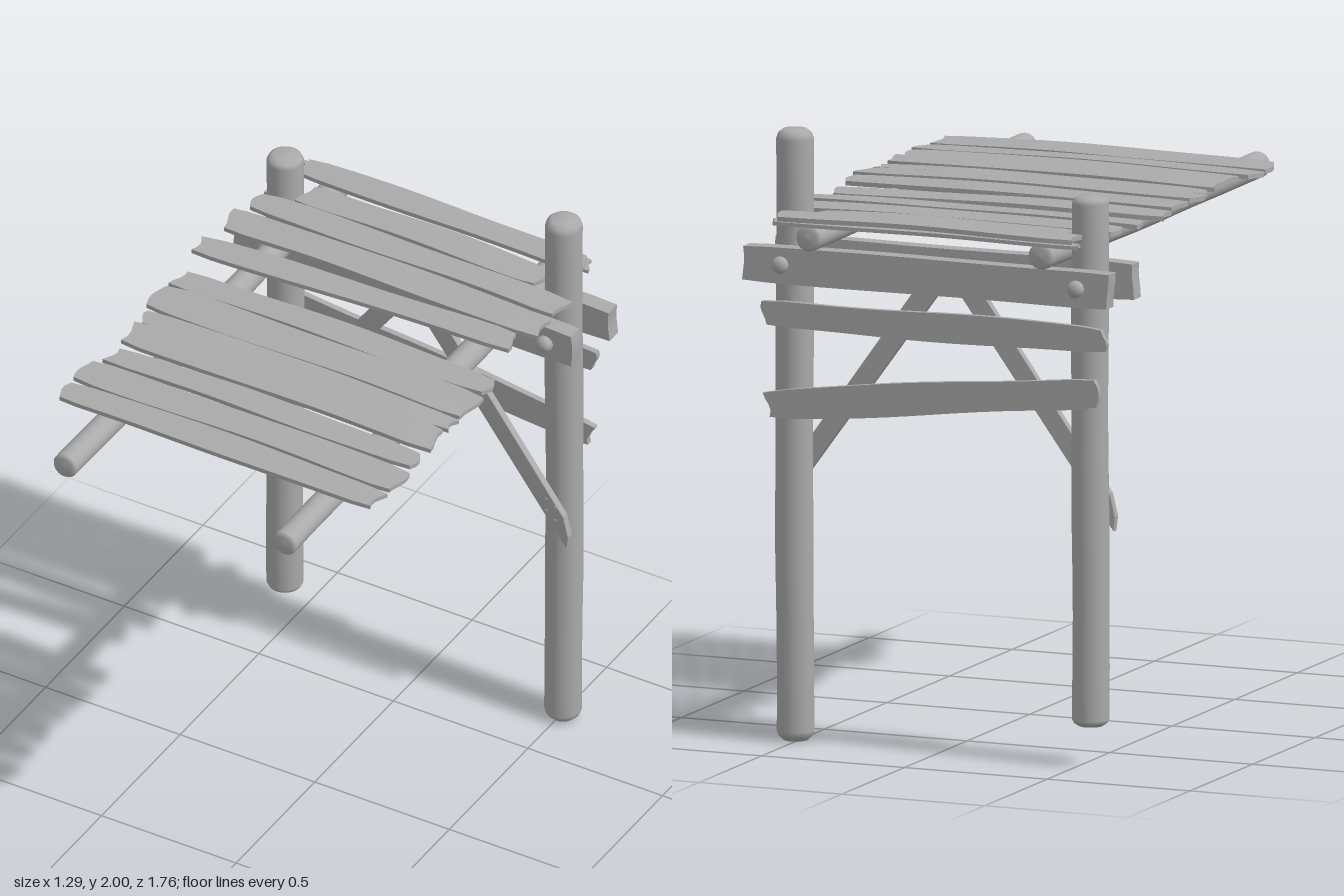
import * as THREE from 'three';
import { toCreasedNormals } from 'three/addons/utils/BufferGeometryUtils.js';

const wood = new THREE.MeshStandardMaterial({ color: 0xaaaaaa });
wood.name = 'plain grey wood';

// Moves every vertex by a rule
function reshape(geo, rule) {
  const p = geo.attributes.position;
  const v = new THREE.Vector3();
  for (let i = 0; i < p.count; i++) {
    rule(v.fromBufferAttribute(p, i));
    p.setXYZ(i, v.x, v.y, v.z);
  }
  geo.computeVertexNormals();
  return geo;
}

// Rough sawn board: length on x, thickness on y, width on z, uneven edges and ends
function boardGeometry(length, width, thick, seed, { arch = 0, rough = 1, tilt = 0 } = {}) {
  const geo = new THREE.BoxGeometry(length, thick, width, 14, 1, 4);
  reshape(geo, (v) => {
    const t = v.x / (length / 2);
    const s = v.z / (width / 2);
    const side = Math.sign(t);
    const endness = Math.pow(Math.abs(t), 14);
    v.z *= 1 - 0.16 * rough * endness;
    v.z += rough * 0.004 * Math.sin(t * 4 + seed * 2.3 + s);
    v.x -= side * endness * rough * 0.011 * (1 + Math.sin(seed * 3.7 + s * 2 + side));
    v.y += arch * (0.4 - t * t) + tilt * s + rough * 0.001 * Math.sin(t * 5 + seed);
  });
  return toCreasedNormals(geo, 0.6);
}

// Round log along y with softened ends and a slight natural bend
function logGeometry(radius, length, seed, soft = 0.025) {
  const h = length / 2;
  const profile = [new THREE.Vector2(0, -h), new THREE.Vector2(radius * 0.65, -h + 0.003),
    new THREE.Vector2(radius * 0.9, -h + soft * 0.5), new THREE.Vector2(radius, -h + soft)];
  for (let i = 1; i < 10; i++) {
    const y = -h + soft + (i / 10) * (length - 2 * soft);
    profile.push(new THREE.Vector2(radius * (1 + 0.02 * Math.sin(i * 1.7 + seed)), y));
  }
  profile.push(new THREE.Vector2(radius, h - soft), new THREE.Vector2(radius * 0.9, h - soft * 0.45),
    new THREE.Vector2(radius * 0.65, h - 0.003), new THREE.Vector2(0, h));
  const geo = new THREE.LatheGeometry(profile, 24);
  const p = geo.attributes.position;
  for (let i = 0; i < p.count; i++) {
    const y = p.getY(i);
    p.setX(i, p.getX(i) + 0.002 * Math.sin(y * 4 + seed));
    p.setZ(i, p.getZ(i) + 0.002 * Math.cos(y * 3 + seed));
  }
  return geo;
}

export function createModel() {
  const model = new THREE.Group();
  model.name = 'lean-to canopy';
  const add = (name, geo, x = 0, y = 0, z = 0) => {
    const mesh = new THREE.Mesh(geo, wood);
    mesh.name = name;
    mesh.position.set(x, y, z);
    model.add(mesh);
    return mesh;
  };

  // Upright posts, the left-hand one shorter and set higher
  const postX = [-0.525, 0.51];
  add('shortPost', logGeometry(0.06, 1.735, 1), postX[0], 0.992, -0.712);
  add('tallPost', logGeometry(0.061, 2.0, 2.4, 0.035), postX[1], 1.0, -0.712);

  // Long round rafters carrying the roof
  [-0.419, 0.397].forEach((x, i) => {
    add('rafter', logGeometry(0.043, 1.755, i * 2, 0.012).rotateX(Math.PI / 2), x, 1.675, 0.002);
  });

  // Two beams clamping the posts, held by round-headed bolts
  const upright = (length, width, thick, seed, options) =>
    boardGeometry(length, width, thick, seed, options).rotateX(Math.PI / 2);
  add('frontBeam', upright(1.26, 0.122, 0.055, 1, { rough: 0.35 }), -0.02, 1.572, -0.621);
  add('backBeam', upright(1.285, 0.118, 0.055, 2, { rough: 0.35 }), 0.003, 1.57, -0.799);
  for (const x of postX) {
    for (const [z, dir] of [[-0.595, 1], [-0.825, -1]]) {
      const bolt = new THREE.LatheGeometry([[0.028, 0], [0.028, 0.014], [0.023, 0.024], [0.012, 0.03], [0, 0.031]]
        .map(([r, y]) => new THREE.Vector2(r, y)), 18).rotateX(dir * Math.PI / 2);
      add('bolt', bolt, x, 1.572, z);
    }
  }

  // Boards nailed across the back
  add('upperBackBoard', upright(1.215, 0.09, 0.02, 3), -0.013, 1.403, -0.787);
  add('lowerBackBoard', upright(1.18, 0.102, 0.02, 5), -0.003, 1.167, -0.782)
    .rotation.z = -0.107;

  // Diagonal braces with cut ends and nail heads
  for (const side of [-1, 1]) {
    const outline = [[0.575, 0.755], [0.58, 0.8], [0.562, 0.875], [0.075, 1.55], [-0.005, 1.545]]
      .map(([x, y]) => new THREE.Vector2(x * side, y));
    const brace = new THREE.ExtrudeGeometry(new THREE.Shape(outline),
      { depth: 0.022, bevelEnabled: true, bevelSize: 0.002, bevelThickness: 0.002, bevelSegments: 1 });
    add('brace', brace, 0, 0, side < 0 ? -0.642 : -0.64);
    for (const [x, y] of [[0.5, 0.925], [0.533, 0.905], [0.5, 0.88], [0.533, 0.852]]) {
      add('nail', new THREE.SphereGeometry(0.007, 8, 6).scale(1, 1, 0.5), x * side, y, -0.617);
    }
  }

  // Roof planks: x start, x end, z front, z back, height, tilt
  const planks = [
    [-0.6, 0.585, 0.64, 0.525, 1.731, 0.004],
    [-0.607, 0.597, 0.515, 0.403, 1.729, -0.003],
    [-0.565, 0.585, 0.39, 0.288, 1.729, 0.003],
    [-0.578, 0.588, 0.277, 0.153, 1.734, 0],
    [-0.578, 0.588, 0.15, 0.072, 1.727, 0],
    [-0.602, 0.597, 0.07, -0.06, 1.732, -0.003],
    [-0.588, 0.588, -0.07, -0.175, 1.727, 0.003],
    [-0.625, 0.535, -0.281, -0.381, 1.732, 0.002],
    [-0.607, 0.582, -0.42, -0.532, 1.73, -0.003],
    [-0.583, 0.578, -0.548, -0.652, 1.728, 0.002],
    [-0.462, 0.44, -0.66, -0.765, 1.727, 0],
    [-0.535, 0.525, -0.775, -0.876, 1.737, 0.002],
  ];
  planks.forEach(([x0, x1, z0, z1, y, tilt], i) => {
    const geo = boardGeometry(x1 - x0, z0 - z1, 0.015, i * 1.3, { arch: 0.008, tilt });
    const plank = add('roofPlank', geo, (x0 + x1) / 2, y, (z0 + z1) / 2);
    if (i === 7) plank.rotation.y = 0.05;
  });

  // Broken plank tucked under the rearmost one
  add('underPlank', boardGeometry(1.09, 0.06, 0.012, 9, { arch: 0.004 }), -0.01, 1.718, -0.85);

  return model;
}
